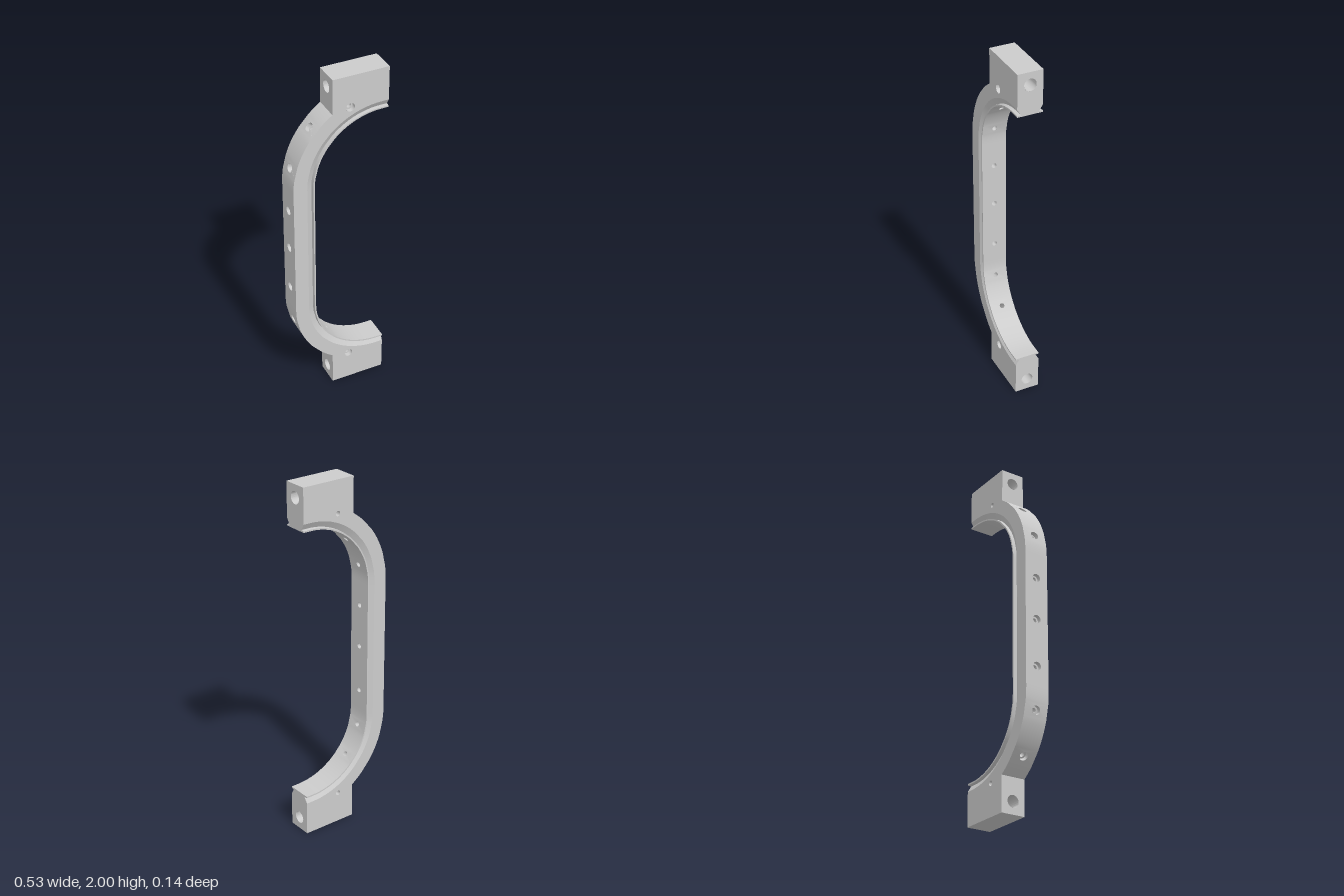
import * as THREE from 'three';
import { mergeGeometries, toCreasedNormals } from 'three/addons/utils/BufferGeometryUtils.js';

// Half-ring clamp: a C-shaped bow with a bolt block at each end
const CX = 0.225, H = 0.39, R = 0.375;       // arc centre, half length of the straight, inner radius
const D = 0.12, W = 0.07;                    // bow thickness, half width
const BACK = -0.05, END = 0.265;             // block back and end face
const T_ARC = H + R * Math.PI / 2, T_END = T_ARC + END - CX;
const T_OUT = H + R * Math.acos((CX - BACK) / (R + D));
const BIG = 0.024, SMALL = 0.014, SINK = 0.024, BOLT = 0.034;
const HOLES = [-0.662, -0.478, -0.267, 0, 0.241, 0.478, 0.662];

// Half of the inner edge section as [distance from inner face, z]: lip, then V groove
const LIP = [[0, W], [0.008, W], [0.01, 0.05], [0.043, W]];
const SECTION = [...LIP.map(([d, z]) => [d, -z]).reverse(), ...LIP];
const GROOVE = LIP[3][0];

// Point at length t along the bow (t = 0 at mid height), d outward from the inner face
function bowPoint(t, d) {
  const s = Math.sign(t), a = Math.abs(t);
  const q = THREE.MathUtils.clamp((a - H) / R, 0, Math.PI / 2);
  const x = CX - (R + d) * Math.cos(q) + Math.max(0, a - T_ARC);
  const y = Math.min(a, H) + (R + d) * Math.sin(q);
  return new THREE.Vector2(x, 1 + s * y);
}

// Stations shared by all swept faces, with a wider cell around each hole
function makeStations() {
  const marks = [-T_END, -T_ARC, -T_OUT, -H, H, T_OUT, T_ARC, T_END];
  HOLES.forEach(t => marks.push(t - 0.03, t + 0.03));
  marks.sort((a, b) => a - b);
  const list = [marks[0]];
  for (let i = 1; i < marks.length; i++) {
    const a = marks[i - 1], b = marks[i];
    const isHole = HOLES.some(t => t > a && t < b);
    const n = isHole ? 1 : Math.ceil((b - a) / 0.025);
    for (let k = 1; k <= n; k++) list.push(a + (b - a) * k / n);
  }
  return list;
}
const STATIONS = makeStations();
const OUTER = STATIONS.filter(t => Math.abs(t) <= T_OUT + 1e-6);

function ellipseHole(x, y, rx, ry) {
  const p = new THREE.Path();
  p.absellipse(x, y, rx, ry, 0, Math.PI * 2, true);
  return p;
}

// Flat outline with holes, moved into place by a rule
function face(points, holes, map, flip = false) {
  const shape = new THREE.Shape(points.map(p => new THREE.Vector2(p[0], p[1])));
  shape.holes.push(...holes);
  const geo = new THREE.ShapeGeometry(shape, 24);
  const pos = geo.attributes.position;
  for (let i = 0; i < pos.count; i++) pos.setXYZ(i, ...map(pos.getX(i), pos.getY(i)));
  if (flip) geo.index.array.reverse();
  return geo;
}

// Sweep of section line a-b along the bow, pierced by holes if a radius is given
function sweep(a, b, stations, holeR = 0) {
  const len = Math.hypot(b[0] - a[0], b[1] - a[1]);
  const cells = [];
  for (let i = 1; i < stations.length; i++) {
    const t0 = stations[i - 1], t1 = stations[i];
    const t = holeR ? HOLES.find(h => h > t0 && h < t1) : undefined;
    const stretch = Math.abs(t) > H ? (R + a[0]) / R : 1;
    const holes = t === undefined ? [] : [ellipseHole(t, len / 2, holeR / stretch, holeR)];
    cells.push(face([[t0, 0], [t1, 0], [t1, len], [t0, len]], holes, (u, w) => {
      const k = w / len;
      const p = bowPoint(u, a[0] + (b[0] - a[0]) * k);
      return [p.x, p.y, a[1] + (b[1] - a[1]) * k];
    }));
  }
  return mergeGeometries(cells);
}

export function createModel() {
  const group = new THREE.Group();
  const material = new THREE.MeshStandardMaterial({ color: 0xcccccc, side: THREE.DoubleSide });
  const add = (name, geo) => {
    const mesh = new THREE.Mesh(toCreasedNormals(geo, 0.5), material);
    mesh.name = name;
    group.add(mesh);
    return mesh;
  };

  // Bow: inner face, lips and grooves, outer face
  SECTION.slice(1).forEach((b, i) => {
    const inner = i === 3;
    add(inner ? 'innerFace' : 'lipAndGroove', sweep(SECTION[i], b, STATIONS, inner ? SMALL : 0));
  });
  add('outerFace', sweep([D, W], [D, -W], OUTER, BIG));

  // Front and back faces, covering the bow and both blocks
  const outline = [
    ...OUTER.map(t => bowPoint(t, D).toArray()),
    [BACK, 2], [END, 2],
    ...STATIONS.map(t => bowPoint(t, GROOVE).toArray()).reverse(),
    [END, 0], [BACK, 0],
  ];
  for (const s of [1, -1]) {
    const r = s > 0 ? BIG : SMALL;
    const holes = [1.82, 0.18].map(y => ellipseHole(0.05, y, r, r));
    add(s > 0 ? 'frontFace' : 'backFace', face(outline, holes, (x, y) => [x, y, s * W], s < 0));
  }

  // Remaining block faces and bolt holes, mirrored top to bottom
  const yIn = bowPoint(T_END, 0).y, yOut = bowPoint(T_OUT, D).y;
  for (const low of [false, true]) {
    const my = y => (low ? 2 - y : y);
    const bolt = () => [ellipseHole(1.93, 0, BOLT, BOLT)];
    const endOutline = [...SECTION.map(([d, z]) => [yIn + d, z]), [2, W], [2, -W]];
    add('blockEndFace', face(endOutline, bolt(), (y, z) => [END, my(y), z], low));
    add('blockBackFace', face([[yOut, -W], [2, -W], [2, W], [yOut, W]], bolt(),
      (y, z) => [BACK, my(y), z], !low));
    add('blockCap', face([[-W, BACK], [W, BACK], [W, END], [-W, END]], [],
      (z, x) => [x, my(2), z], low));
    const bore = add('boltBore', new THREE.CylinderGeometry(BOLT, BOLT, END - BACK, 24, 1, true));
    bore.rotation.z = Math.PI / 2;
    bore.position.set((END + BACK) / 2, my(1.93), 0);
  }

  // Counterbored holes: through the blocks and through the bow
  const counterbore = (name, start, dir, length) => {
    const profile = [[SMALL, -length], [SMALL, -SINK], [BIG, -SINK], [BIG, 0]];
    const mesh = add(name, new THREE.LatheGeometry(profile.map(p => new THREE.Vector2(...p)), 24));
    mesh.position.copy(start);
    mesh.quaternion.setFromUnitVectors(new THREE.Vector3(0, 1, 0), dir);
  };
  for (const y of [1.82, 0.18]) {
    counterbore('blockPinHole', new THREE.Vector3(0.05, y, W), new THREE.Vector3(0, 0, 1), 2 * W);
  }
  for (const t of HOLES) {
    const a = bowPoint(t, 0), b = bowPoint(t, D);
    const dir = new THREE.Vector3(b.x - a.x, b.y - a.y, 0).normalize();
    counterbore('bowHole', new THREE.Vector3(b.x, b.y, 0), dir, D);
  }
  return group;
}
